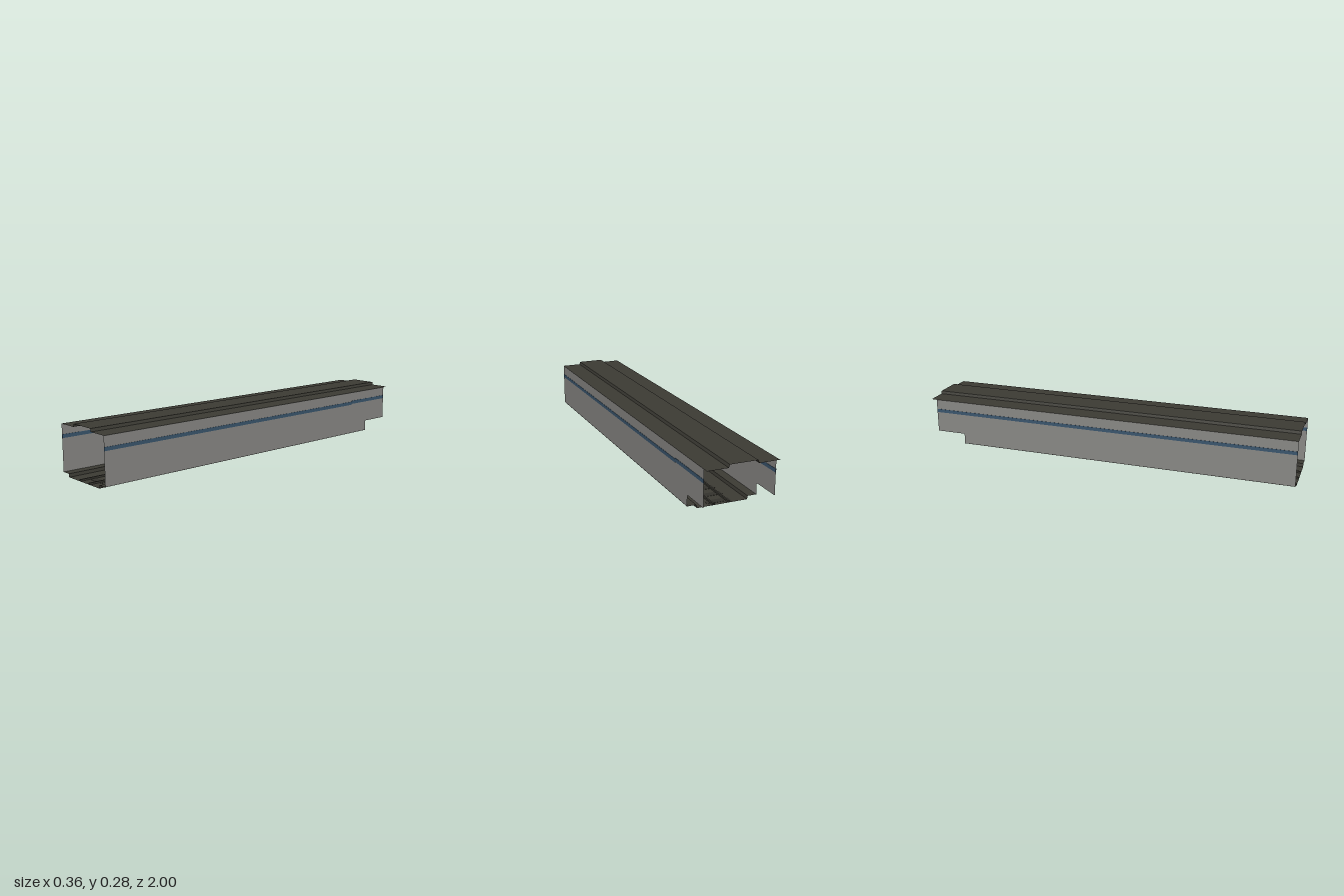
import * as THREE from 'three';

const material = (name, color) =>
  new THREE.MeshStandardMaterial({ name, color, side: THREE.DoubleSide });

// Open sheet: an x/y outline drawn along z, with flat facets
function sheet(points, zFront, zBack) {
  const pos = [];
  for (let i = 0; i < points.length - 1; i++) {
    const [ax, ay] = points[i], [bx, by] = points[i + 1];
    pos.push(ax, ay, zFront, bx, by, zFront, bx, by, zBack);
    pos.push(ax, ay, zFront, bx, by, zBack, ax, ay, zBack);
  }
  const geometry = new THREE.BufferGeometry();
  geometry.setAttribute('position', new THREE.Float32BufferAttribute(pos, 3));
  geometry.computeVertexNormals();
  return geometry;
}

export function createModel() {
  const group = new THREE.Group();
  group.name = 'tunnelSection';
  const dark = material('darkConcrete', 0x3c3b34);
  const grey = material('greyWall', 0x8a8986);
  const blue = material('blueStripe', 0x3a566e);
  const sleeperDark = material('sleeperDark', 0x34332d);

  const add = (name, geometry, mat, x = 0, y = 0, z = 0) => {
    const mesh = new THREE.Mesh(geometry, mat);
    mesh.name = name;
    mesh.position.set(x, y, z);
    group.add(mesh);
    return mesh;
  };

  // Roof with a raised centre; left to right so the faces look upward
  const roof = [[-0.18, 0.261], [-0.075, 0.261], [-0.07, 0.276],
    [0.07, 0.276], [0.075, 0.261], [0.18, 0.261]];
  add('roof', sheet(roof, 1, -1), dark);

  // Floor with a sunken track bed, stopping short of the back
  const backFloor = -0.81;
  const floor = [[-0.18, 0.024], [-0.133, 0.024], [-0.13, 0.0075],
    [0.13, 0.0075], [0.133, 0.024], [0.18, 0.024]];
  add('floor', sheet(floor, 1, backFloor), dark);

  // Side walls, cut away at the lower back corner
  const outline = new THREE.Shape([[1, 0.024], [1, 0.261], [-0.97, 0.261],
    [-0.97, 0.08], [backFloor, 0.08], [backFloor, 0.024]]
    .map(([z, y]) => new THREE.Vector2(z, y)));
  for (const [side, x] of [['left', 0.179], ['right', -0.179]]) {
    const wall = new THREE.ShapeGeometry(outline);
    wall.rotateY(-Math.PI / 2);
    add(side + 'Wall', wall, grey, x);
  }

  // Painted stripes show on both faces of each wall
  const stripe = (name, x, y, zFront, zBack) =>
    add(name, new THREE.BoxGeometry(0.003, 0.018, zFront - zBack), blue,
      x, y, (zFront + zBack) / 2);
  stripe('leftStripe', 0.179, 0.199, 1, -0.68);
  stripe('leftStripeRaised', 0.179, 0.204, -0.68, -0.97);
  stripe('rightStripe', -0.179, 0.199, 1, -0.97);

  // Sleepers set into the track bed
  const count = 22;
  const sleeper = new THREE.BoxGeometry(0.122, 0.0085, 0.036);
  for (let i = 0; i < count; i++) {
    add('sleeper', sleeper, sleeperDark, 0.005, 0.00425, 0.93 - i * 0.081);
  }

  // Rails as open channels
  for (const x of [-0.035, 0.045]) {
    const rail = [[-0.004, 0.0075], [-0.004, 0.016], [0.004, 0.016], [0.004, 0.0075]];
    add('rail', sheet(rail, 1, backFloor), dark, x);
  }

  return group;
}
